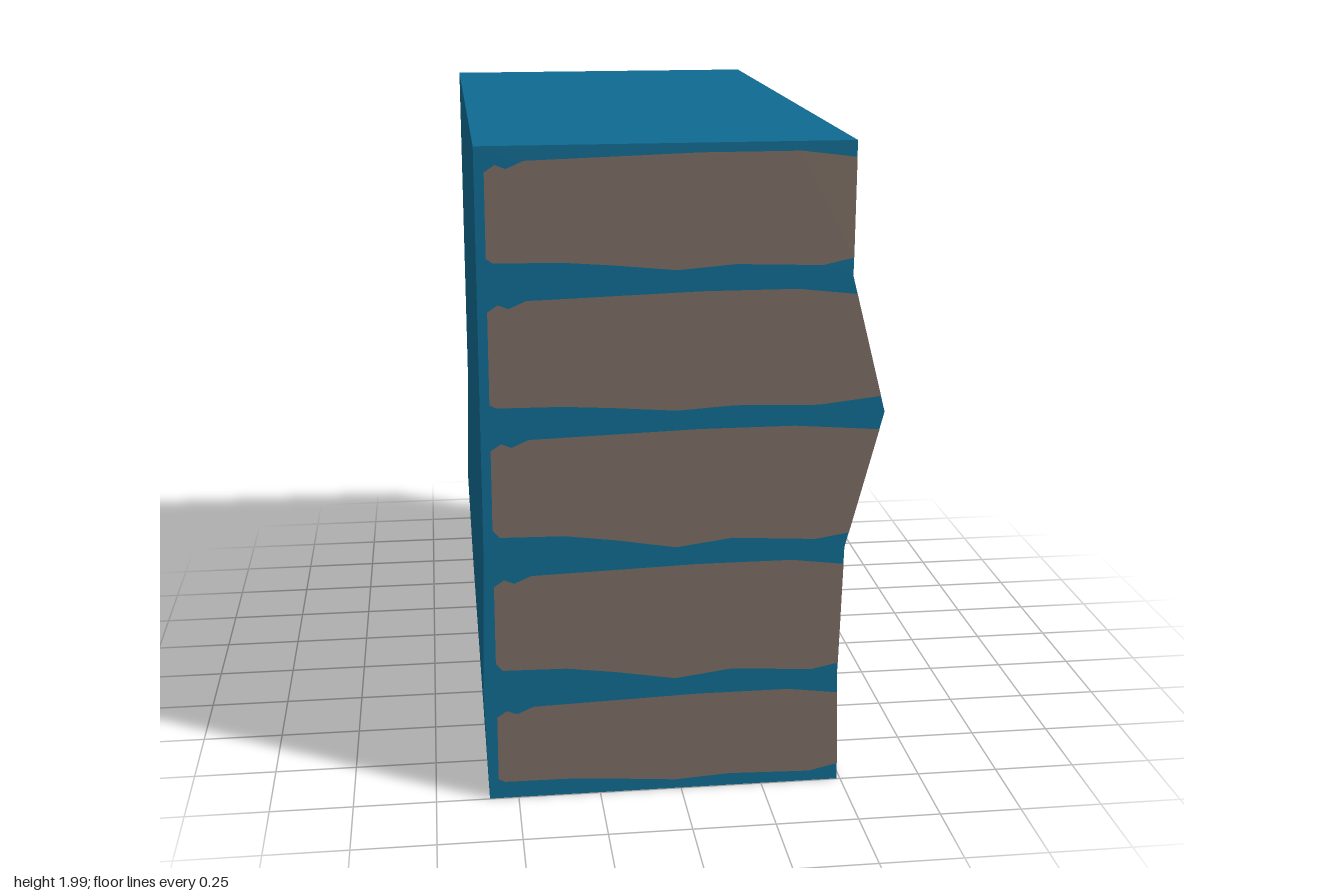
import * as THREE from 'three';

// Right-hand edge of the wall section, bottom to top: [x, y]
const RIGHT_EDGE = [[0.49, 0], [0.48, 0.35], [0.49, 0.77], [0.597, 1.19], [0.49, 1.6], [0.49, 1.99]];
const LEFT_EDGE = [[-0.588, 1.99], [-0.588, 0.78], [-0.599, 0.36], [-0.588, 0]];

// Plank heights, and how strongly the lower edge waves
const PLANKS = [
  { bottom: 0.03, top: 0.315, wave: 0.7 },
  { bottom: 0.37, top: 0.737, wave: 1.5 },
  { bottom: 0.793, top: 1.157, wave: 1.5 },
  { bottom: 1.215, top: 1.567, wave: 0.7 },
  { bottom: 1.63, top: 1.963, wave: 0.9 },
];

// Worn plank edges: [position along, offset in y]
const END_WEAR = {
  top: [[-0.56, -0.045], [-0.53, -0.025], [-0.5, -0.037], [-0.45, -0.015], [0.05, 0], [0.33, 0]],
  bottom: [[0.4, 0.005], [0.15, 0.015], [-0.02, 0], [-0.2, 0.02], [-0.35, 0.033], [-0.54, 0.035], [-0.56, 0.05]],
};
const SIDE_WEAR = {
  top: [[-1, -0.017], [-0.25, -0.017], [0.1, 0], [0.65, 0], [0.76, -0.013], [0.98, -0.02]],
  bottom: [[0.99, 0.035], [0.95, 0.015], [0.6, 0], [0.3, 0.008], [0, 0], [-0.63, 0.005], [-0.66, 0.025], [-1, 0.025]],
};

// x of the right-hand edge at a given height
function rightEdgeAt(y) {
  const i = RIGHT_EDGE.findIndex((p) => p[1] >= y);
  const [x0, y0] = RIGHT_EDGE[i - 1];
  const [x1, y1] = RIGHT_EDGE[i];
  return x0 + ((x1 - x0) * (y - y0)) / (y1 - y0);
}

// Flat plate with worn edges; "ends" are the extra corners on its right end
function plankGeometry(plank, wear, ends = [], mirror = 1) {
  const outline = [
    ...wear.top.map(([x, dy]) => [x, plank.top + dy]),
    ...ends,
    ...wear.bottom.map(([x, dy]) => [x, plank.bottom + dy * plank.wave]),
  ];
  return new THREE.ShapeGeometry(new THREE.Shape(outline.map(([x, y]) => new THREE.Vector2(x * mirror, y))));
}

export function createModel() {
  const model = new THREE.Group();
  const blue = new THREE.MeshStandardMaterial({ color: 0x0f6b92 });
  blue.name = 'blue';
  const brown = new THREE.MeshStandardMaterial({ color: 0x7b6d63 });
  brown.name = 'brown';

  const add = (name, geometry, material) => {
    const mesh = new THREE.Mesh(geometry, material);
    mesh.name = name;
    model.add(mesh);
  };

  // Solid block with a ridge along its right side
  const section = new THREE.Shape([...RIGHT_EDGE, ...LEFT_EDGE].map(([x, y]) => new THREE.Vector2(x, y)));
  const block = new THREE.ExtrudeGeometry(section, { depth: 1.996, bevelEnabled: false });
  add('block', block.translate(0, 0, -0.998), blue);

  PLANKS.forEach((plank, i) => {
    // Planks on both ends, reaching the ridged edge
    const ends = [plank.top - 0.02, plank.bottom + 0.024].map((y) => [rightEdgeAt(y), y]);
    add(`frontPlank${i + 1}`, plankGeometry(plank, END_WEAR, ends).translate(0, 0, 1), brown);
    add(`backPlank${i + 1}`, plankGeometry(plank, END_WEAR, ends, -1).rotateY(Math.PI).translate(0, 0, -1), brown);

    // Planks on the long side, leaning with the ridge
    const side = plankGeometry({ ...plank, wave: 0.9 }, SIDE_WEAR).rotateY(Math.PI / 2);
    const position = side.attributes.position;
    for (let v = 0; v < position.count; v++) position.setX(v, rightEdgeAt(position.getY(v)) + 0.002);
    side.computeVertexNormals();
    add(`sidePlank${i + 1}`, side, brown);
  });

  return model;
}
